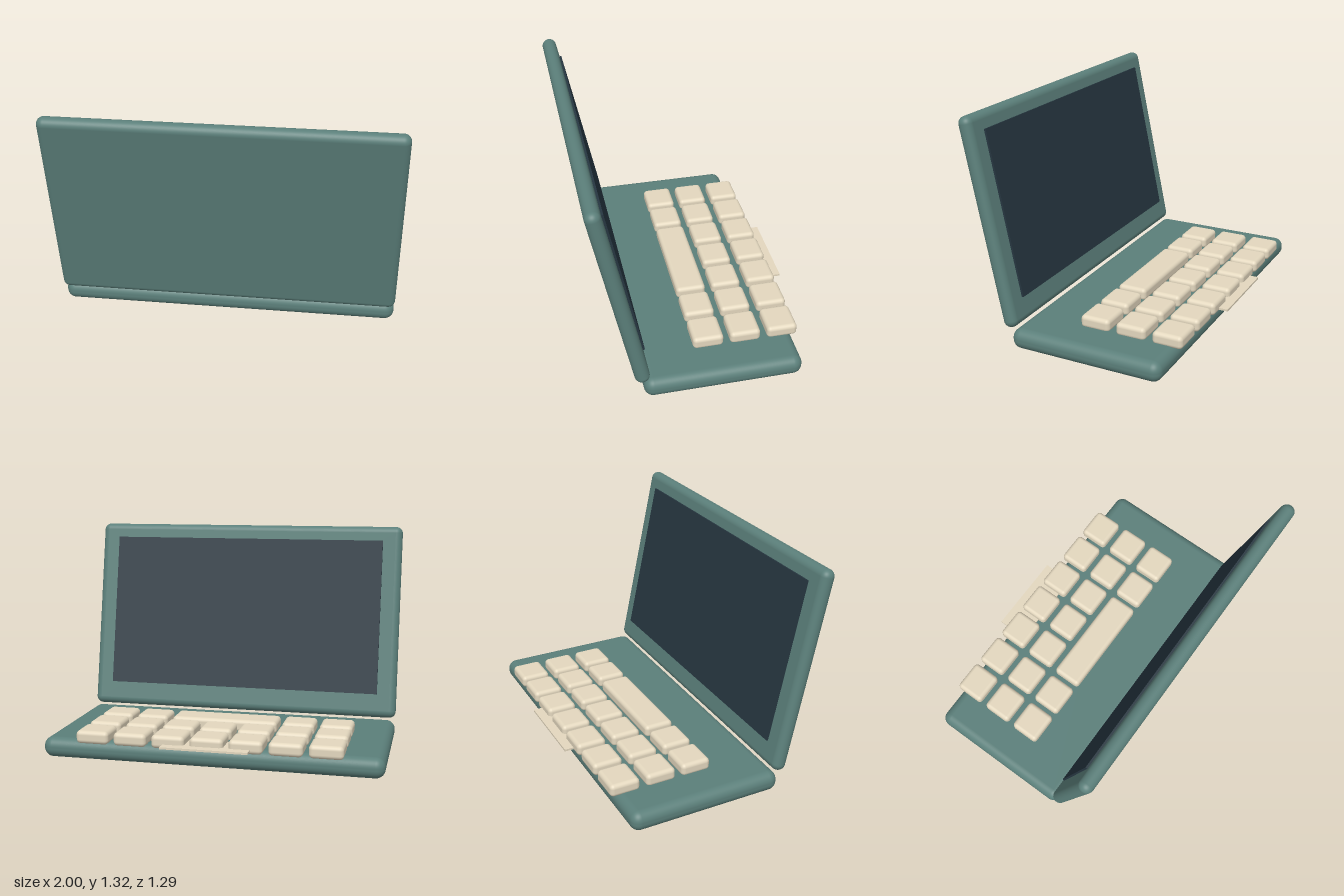
import * as THREE from 'three';
import { RoundedBoxGeometry } from 'three/addons/geometries/RoundedBoxGeometry.js';

const shell = new THREE.MeshStandardMaterial({ color: 0x5b7f7a });
const cream = new THREE.MeshStandardMaterial({ color: 0xe3d7be });
const dark = new THREE.MeshStandardMaterial({ color: 0x263640 });

function add(parent, name, geometry, material, x, y, z) {
  const mesh = new THREE.Mesh(geometry, material);
  mesh.name = name;
  mesh.position.set(x, y, z);
  parent.add(mesh);
  return mesh;
}

export function createModel() {
  const model = new THREE.Group();
  model.name = 'laptop';

  // Base slab with rounded rim
  add(model, 'base', new RoundedBoxGeometry(2, 0.12, 0.925, 6, 0.055), shell, 0, 0.06, -0.098);

  // Lid leaning back, with the screen on its inner (-z) face
  const lid = new THREE.Group();
  lid.name = 'lid';
  lid.position.set(0, 0.7185, 0.487);
  lid.rotation.x = 0.2;
  model.add(lid);
  add(lid, 'lidShell', new RoundedBoxGeometry(2, 1.216, 0.086, 6, 0.042), shell, 0, 0, 0);
  add(lid, 'screen', new THREE.BoxGeometry(1.76, 0.975, 0.02), dark, 0, 0.025, -0.045);

  // Keyboard: three rows of seven, the middle of the first row being a space bar
  const keyboard = new THREE.Group();
  keyboard.name = 'keyboard';
  model.add(keyboard);
  const pitch = 0.2265, keyWidth = 0.195;
  const keyGeometry = (w) => new RoundedBoxGeometry(w, 0.077, 0.182, 4, 0.025);
  const key = keyGeometry(keyWidth);
  [-0.053, -0.275, -0.498].forEach((z, row) => {
    for (let col = -3; col <= 3; col++) {
      if (row === 0 && Math.abs(col) < 2) continue;
      add(keyboard, 'key', key, cream, col * pitch, 0.146, z);
    }
  });
  add(keyboard, 'spaceBar', keyGeometry(2 * pitch + keyWidth), cream, 0, 0.146, -0.053);

  // Thin touchpad projecting past the base edge
  add(model, 'touchpad', new THREE.BoxGeometry(0.507, 0.012, 0.19), cream, 0, 0.13, -0.549);

  return model;
}
